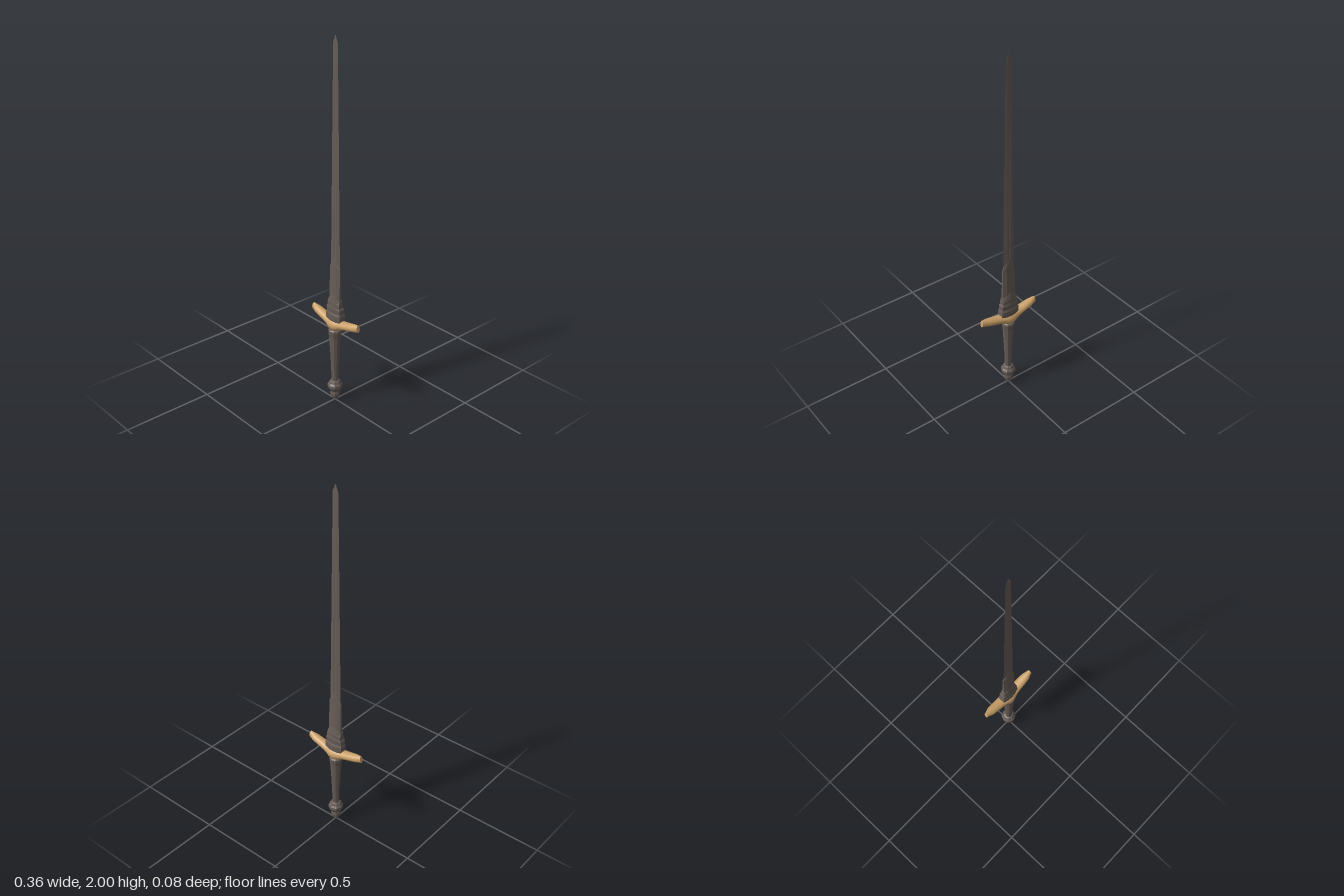
import * as THREE from 'three';

const steel = new THREE.MeshStandardMaterial({ color: 0x665c56, flatShading: true });
steel.name = 'dark steel';
const brass = new THREE.MeshStandardMaterial({ color: 0xcaa068 });
brass.name = 'pale brass';

// Skin a list of equal-sized rings, each running anticlockwise about the loft axis
function loft(name, rings, material) {
  const n = rings[0].length;
  const pos = rings.flat(2);
  const index = [];
  for (let i = 0; i < rings.length - 1; i++) {
    for (let j = 0; j < n; j++) {
      const a = i * n + j, b = i * n + (j + 1) % n;
      index.push(a, b, b + n, a, b + n, a + n);
    }
  }
  // End caps have their own vertices so the rims stay sharp
  [rings[0], rings[rings.length - 1]].forEach((ring, end) => {
    const base = pos.length / 3;
    const mid = [0, 1, 2].map(k => ring.reduce((s, p) => s + p[k], 0) / n);
    pos.push(...ring.flat(), ...mid);
    for (let j = 0; j < n; j++) {
      const a = base + j, b = base + (j + 1) % n;
      index.push(base + n, end ? a : b, end ? b : a);
    }
  });
  const g = new THREE.BufferGeometry();
  g.setAttribute('position', new THREE.Float32BufferAttribute(pos, 3));
  g.setIndex(index);
  g.computeVertexNormals();
  const mesh = new THREE.Mesh(g, material);
  mesh.name = name;
  return mesh;
}

// Blade section: sharp edges and a shallow central groove
const bladeRing = ([y, w, d, groove]) => [
  [0, groove], [0.35, d], [1, 0], [0.35, -d], [0, -groove], [-0.35, -d], [-1, 0], [-0.35, d],
].map(([x, z]) => [x * w, y, z]);

// Collar section: flat-faced with chamfered sides; drop lowers the outer edges
const collarRing = ([y, w, d, side = 0.65, drop = 0]) => [
  [0, 1], [0.5, 0.9], [1, side], [1, -side], [0.5, -0.9], [0, -1], [-0.5, -0.9], [-1, -side], [-1, side], [-0.5, 0.9],
].map(([x, z]) => [x * w, y - drop * Math.abs(x), z * d]);

function lathe(name, points, sides, material) {
  const mesh = new THREE.Mesh(
    new THREE.LatheGeometry(points.map(([r, y]) => new THREE.Vector2(r, y)), sides), material);
  mesh.name = name;
  return mesh;
}

export function createModel() {
  const sword = new THREE.Group();
  sword.name = 'sword';

  const upper = new THREE.Group();
  upper.name = 'bladeAssembly';
  upper.position.z = -0.003;
  sword.add(upper);

  // Long tapering blade with a short point
  upper.add(loft('blade', [
    [0.52, 0.035, 0.008, 0.005], [0.9, 0.033, 0.0065, 0.003], [1.3, 0.027, 0.005, 0.002],
    [1.7, 0.021, 0.0035, 0.002], [1.96, 0.0165, 0.002, 0.002], [1.997, 0.0015, 0.0005, 0.0005],
  ].map(bladeRing), steel));

  // Three overlapping sleeves at the blade root, pointed at the middle
  upper.add(loft('longSleeve', [
    [0.5, 0.041, 0.022, 0.4], [0.65, 0.04, 0.0165, 0.4, 0.01],
    [0.82, 0.038, 0.011, 0.3, 0.025], [0.86, 0.033, 0.0075, 0.1, 0.045],
  ].map(collarRing), steel));
  upper.add(loft('middleSleeve', [
    [0.5, 0.045, 0.025], [0.6, 0.045, 0.024, 0.65, 0.01], [0.645, 0.042, 0.017, 0.5, 0.03],
  ].map(collarRing), steel));
  upper.add(loft('lowerCollar', [
    [0.485, 0.05, 0.027], [0.505, 0.055, 0.029], [0.53, 0.054, 0.029],
    [0.54, 0.05, 0.025], [0.565, 0.051, 0.027], [0.585, 0.046, 0.024, 0.65, 0.012],
  ].map(collarRing), steel));

  // Crossguard: oval sections swept from arm to arm, rising outwards
  const half = [ // x, centre y, half height, half depth
    [0, 0.467, 0.037, 0.04], [0.018, 0.468, 0.035, 0.038], [0.038, 0.473, 0.028, 0.032],
    [0.06, 0.479, 0.023, 0.029], [0.1, 0.489, 0.021, 0.027], [0.14, 0.499, 0.021, 0.024],
    [0.176, 0.507, 0.02, 0.011],
  ];
  const sections = [...half.slice(1).reverse().map(([x, ...r]) => [-x, ...r]), ...half];
  const guardRings = sections.map(([x, y, h, d]) => Array.from({ length: 16 }, (_, j) => {
    const t = j / 16 * Math.PI * 2;
    return [x - Math.sign(x) * Math.cos(t) * 0.003, y + Math.cos(t) * h, Math.sin(t) * d];
  }));
  upper.add(loft('crossguard', guardRings, brass));

  // Faceted tapering grip with a rim under the guard
  sword.add(lathe('grip', [
    [0, 0.1], [0.019, 0.1], [0.021, 0.2], [0.026, 0.3], [0.032, 0.395],
    [0.036, 0.42], [0.036, 0.433], [0.03, 0.438], [0, 0.438],
  ], 10, steel));

  // Pommel with a swollen, ridged crown and a small brass button beneath
  sword.add(lathe('pommel', [
    [0, 0.006], [0.016, 0.01], [0.025, 0.025], [0.027, 0.042], [0.024, 0.058], [0.032, 0.066],
    [0.041, 0.08], [0.041, 0.098], [0.033, 0.108], [0.028, 0.12], [0.018, 0.124], [0, 0.124],
  ], 8, steel));
  sword.add(lathe('pommelButton', [
    [0, 0], [0.008, 0.001], [0.012, 0.005], [0.012, 0.012], [0, 0.012],
  ], 8, brass));

  return sword;
}
